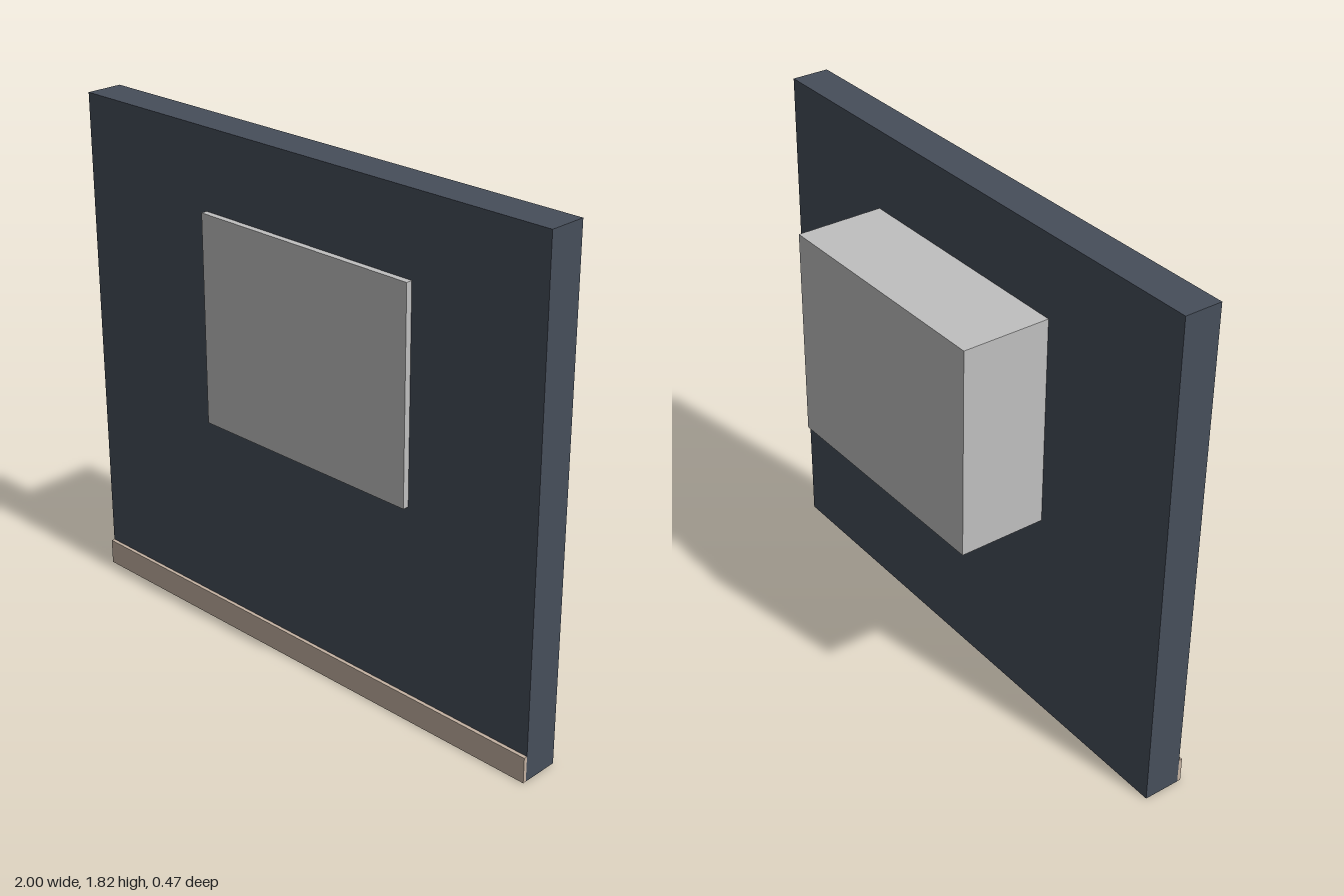
import * as THREE from 'three';

export function createModel() {
  const group = new THREE.Group();
  const material = (name, color) => {
    const m = new THREE.MeshStandardMaterial({ color });
    m.name = name;
    return m;
  };
  const slate = material('slate wall paint', 0x464e5a);
  const grey = material('light grey casing', 0xc0c0c0);
  const beige = material('beige trim', 0xc4b2a2);

  // Box given by its minimum and maximum corners
  const addBox = (name, mat, [x0, y0, z0], [x1, y1, z1]) => {
    const mesh = new THREE.Mesh(new THREE.BoxGeometry(x1 - x0, y1 - y0, z1 - z0), mat);
    mesh.position.set((x0 + x1) / 2, (y0 + y1) / 2, (z0 + z1) / 2);
    mesh.name = name;
    group.add(mesh);
  };

  // Upright wall panel with a skirting strip along the front
  addBox('wall', slate, [-1, 0, 0.08], [1, 1.815, 0.215]);
  addBox('baseboard', beige, [-1, 0, 0.215], [1, 0.093, 0.228]);

  // Box set through the wall, standing slightly proud of the front
  addBox('recessedBox', grey, [-0.416, 0.777, -0.237], [0.488, 1.53, 0.237]);

  // Thin support lip under the box, behind the wall
  addBox('supportLip', grey, [-0.405, 0.769, 0.038], [0.477, 0.777, 0.08]);

  return group;
}
